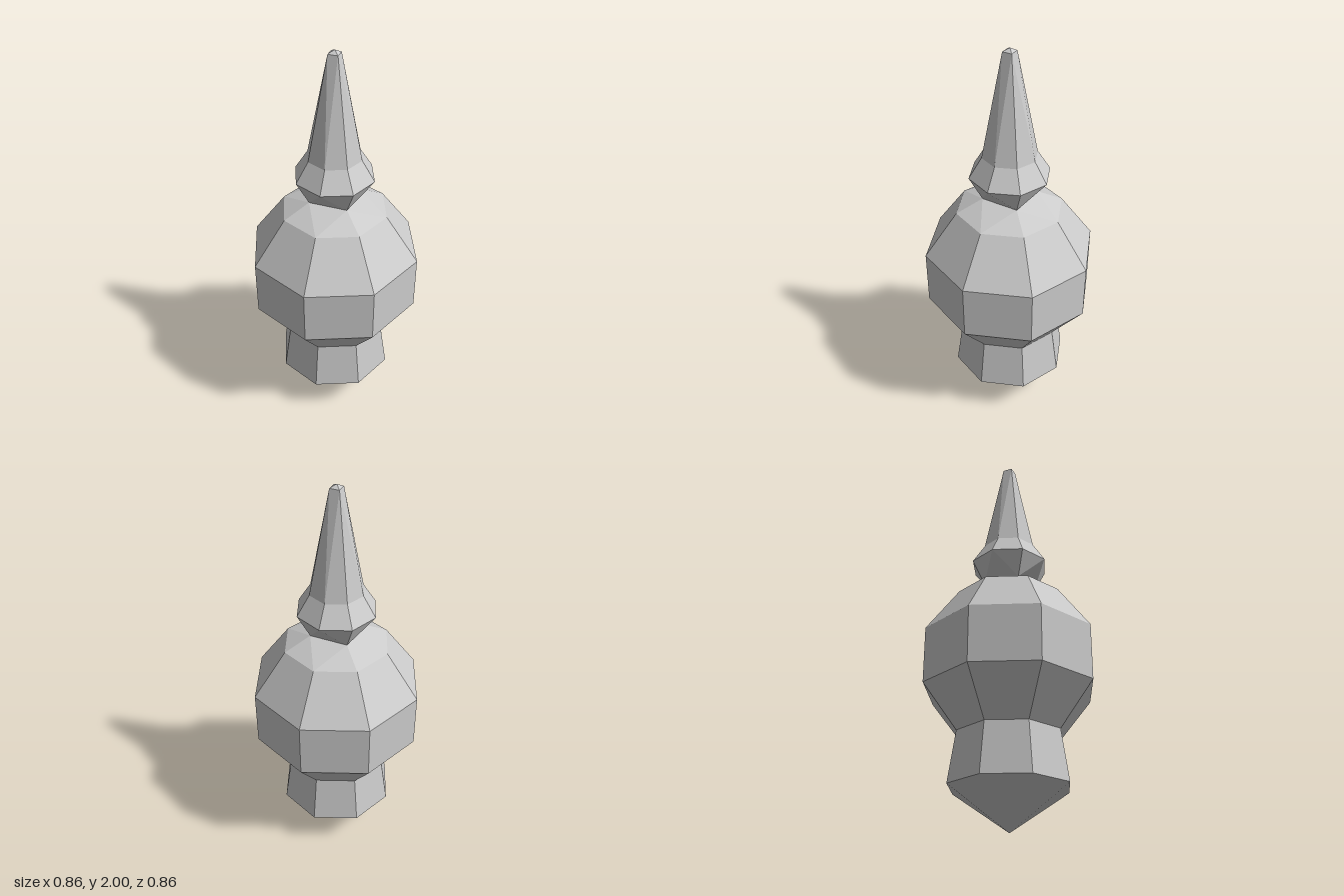
import * as THREE from 'three';

const SIDES = 8;
const material = new THREE.MeshStandardMaterial({ color: 0xcccccc, flatShading: true });

// Ring height, radius; a square ring has its corners on the diagonals,
// with the in-between points lying on the middle of its edges.
const octagon = (y, r) => ({ y, axis: r, diagonal: r });
const square = (y, half) => ({ y, axis: half, diagonal: half * Math.SQRT2 });
const point = (y) => octagon(y, 0);

function ringPoint(ring, i) {
  const a = (i / SIDES) * Math.PI * 2;
  const r = i % 2 ? ring.diagonal : ring.axis;
  return [Math.sin(a) * r, ring.y, Math.cos(a) * r];
}

// Skins a stack of rings, listed from bottom to top.
function loft(name, rings) {
  const positions = [];
  for (let k = 0; k < rings.length - 1; k++) {
    const low = rings[k], high = rings[k + 1];
    for (let i = 0; i < SIDES; i++) {
      const a = ringPoint(low, i), b = ringPoint(low, i + 1);
      const c = ringPoint(high, i + 1), d = ringPoint(high, i);
      // Split each panel so the fold runs from an octagon's axis point to a square's corner
      const lowIsSquare = low.axis < low.diagonal;
      const foldAC = (i % 2 === 0) !== lowIsSquare;
      const tris = foldAC ? [[a, b, c], [a, c, d]] : [[a, b, d], [b, c, d]];
      for (const [p, q, r] of tris) {
        const same = (m, n) => Math.hypot(m[0] - n[0], m[1] - n[1], m[2] - n[2]) < 1e-6;
        if (!same(p, q) && !same(q, r) && !same(r, p)) positions.push(...p, ...q, ...r);
      }
    }
  }
  const geometry = new THREE.BufferGeometry();
  geometry.setAttribute('position', new THREE.Float32BufferAttribute(positions, 3));
  geometry.computeVertexNormals();
  const mesh = new THREE.Mesh(geometry, material);
  mesh.name = name;
  return mesh;
}

export function createModel() {
  const group = new THREE.Group();
  group.name = 'finial';

  const baseTop = octagon(0.455, 0.262);
  const neck = square(1.248, 0.096);
  const collarTop = octagon(1.475, 0.136);

  group.add(
    // Pointed foot and flared base
    loft('base', [point(0), octagon(0.203, 0.3), baseTop]),
    // Faceted bulb closing into a square neck
    loft('bulb', [baseTop, octagon(0.672, 0.432), octagon(0.952, 0.432), octagon(1.182, 0.267), neck]),
    // Collar widening out of the neck
    loft('collar', [neck, octagon(1.372, 0.2), collarTop]),
    // Tapered spire with a small square cap
    loft('spire', [collarTop, square(1.985, 0.024), point(2)])
  );
  return group;
}
